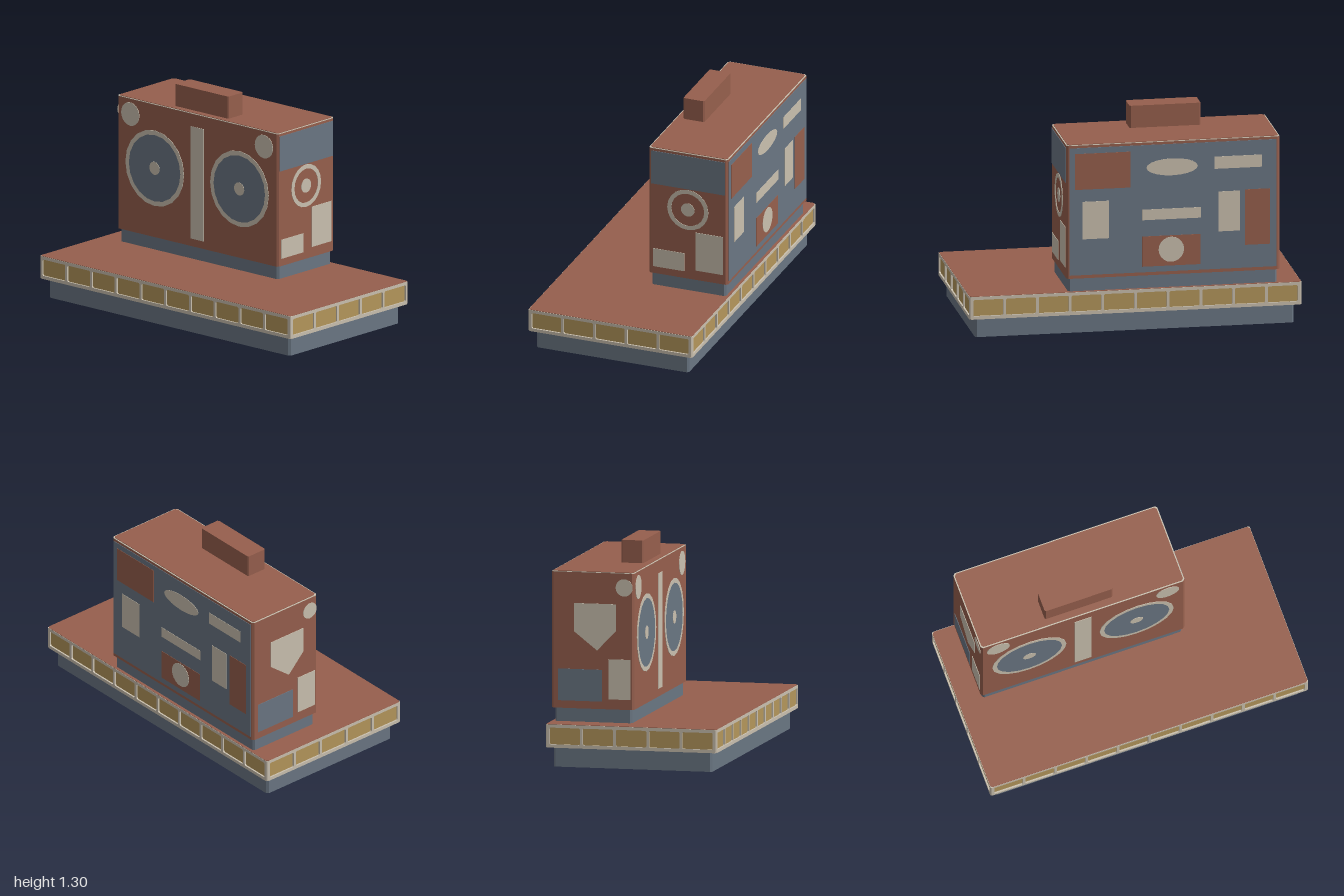
import * as THREE from 'three';

const mat = (name, color) => {
  const m = new THREE.MeshStandardMaterial({ color });
  m.name = name;
  return m;
};

export function createModel() {
  const brown = mat('rust brown', 0x965f4d);
  const blue = mat('slate blue', 0x6a7683);
  const cream = mat('cream', 0xcac0af);
  const gold = mat('ochre', 0xb4965b);
  const model = new THREE.Group();
  model.name = 'towerOnPlatform';

  const add = (parent, name, geometry, material) => {
    const m = new THREE.Mesh(geometry, material);
    m.name = name;
    parent.add(m);
    return m;
  };

  // Points of a rectangle with cut corners
  const outline = (w, d, c) => {
    const x = w / 2, y = d / 2;
    return [[x - c, -y], [x, c - y], [x, y - c], [x - c, y], [c - x, y], [-x, y - c], [-x, c - y], [c - x, -y]]
      .map(([a, b]) => new THREE.Vector2(a, b));
  };

  // Upright block given by its x, y and z ranges, optionally hollow
  const block = (name, material, [x0, x1], [y0, y1], [z0, z1], c = 0.012, wall = 0) => {
    const w = x1 - x0, d = z1 - z0;
    const shape = new THREE.Shape(outline(w, d, c));
    if (wall) shape.holes.push(new THREE.Path(outline(w - 2 * wall, d - 2 * wall, c)));
    const g = new THREE.ExtrudeGeometry(shape, { depth: y1 - y0, bevelEnabled: false });
    g.rotateX(-Math.PI / 2).translate((x0 + x1) / 2, y0, (z0 + z1) / 2);
    return add(model, name, g, material);
  };

  // Flat shapes for plates
  const poly = (pts) => new THREE.Shape(pts.map(([x, y]) => new THREE.Vector2(x, y)));
  const rect = (x0, x1, y0, y1) => poly([[x0, y0], [x1, y0], [x1, y1], [x0, y1]]);
  const oval = (x, y, rx, ry = rx, n = 20) => poly(Array.from({ length: n }, (_, i) => {
    const a = (i / n) * Math.PI * 2;
    return [x + rx * Math.cos(a), y + ry * Math.sin(a)];
  }));
  const ring = (x, y, r, inner) => {
    const s = oval(x, y, r);
    s.holes.push(oval(x, y, inner));
    return s;
  };

  // A wall group whose local +z points outward
  const wallGroup = (name, x, z, turn) => {
    const g = new THREE.Group();
    g.name = name;
    g.position.set(x, 0, z);
    g.rotation.y = turn;
    model.add(g);
    return g;
  };
  const plate = (wall, name, shape, material, depth = 0.003) =>
    add(wall, name, new THREE.ExtrudeGeometry(shape, { depth, bevelEnabled: false }), material);

  // Open plinth
  block('plinth', blue, [-0.96, 0.96], [0, 0.122], [-0.485, 0.485], 0.012, 0.005);

  // Platform: cream shell, ochre core, brown deck
  const D = 0.522, T = 0.01;
  block('platformUnderside', cream, [-1, 1], [0.118, 0.124], [-D, D]);
  block('platformCore', gold, [-1 + T, 1 - T], [0.124, 0.252], [T - D, D - T]);
  block('platformRim', cream, [-1, 1], [0.252, 0.257], [-D, D]);
  block('deck', brown, [-0.998, 0.998], [0.257, 0.259], [0.002 - D, D - 0.002]);
  for (const sx of [-1, 1]) for (const sz of [-1, 1]) {
    const x = sx * 0.99, z = sz * (D - 0.01);
    block('cornerPost', cream, [x - 0.01, x + 0.01], [0.122, 0.255], [z - 0.01, z + 0.01], 0.006);
  }

  // Frames with a row of openings around the platform edge
  const frame = (name, x, z, turn, length, count) => {
    const half = length / 2 - 0.01;
    const s = rect(-half, half, 0.12, 0.255);
    const pitch = (length - 0.03) / count;
    for (let i = 0; i < count; i++) {
      const c = (i - (count - 1) / 2) * pitch, h = pitch / 2 - 0.008;
      const pts = outline(2 * h, 0.1, 0.006).map((p) => p.add(new THREE.Vector2(c, 0.188)));
      s.holes.push(new THREE.Path(pts));
    }
    plate(wallGroup(name, x, z, turn), 'panelFrame', s, cream, T);
  };
  frame('frontEdge', 0, D - T, 0, 2, 10);
  frame('backEdge', 0, T - D, Math.PI, 2, 10);
  frame('rightHandEdge', 1 - T, 0, Math.PI / 2, 2 * D, 5);
  frame('leftHandEdge', T - 1, 0, -Math.PI / 2, 2 * D, 5);

  // Tower
  const X0 = -0.868, X1 = 0.415, Z0 = -0.518, Z1 = -0.016;
  block('neck', blue, [-0.855, 0.403], [0.257, 0.34], [-0.502, -0.03]);
  block('towerBody', brown, [X0, X1], [0.34, 1.155], [Z0, Z1]);
  block('towerRim', cream, [X0, X1], [1.155, 1.158], [Z0, Z1]);
  block('towerRoof', brown, [X0 + 0.007, X1 - 0.007], [1.158, 1.161], [Z0 + 0.007, Z1 - 0.007]);
  block('chimney', brown, [-0.45, -0.022], [1.16, 1.297], [-0.197, -0.063], 0.008);

  // Front wall: two large dials, corner discs and a centre strip
  const front = wallGroup('frontWall', 0, Z1, 0);
  for (const x of [-0.565, 0.11]) {
    plate(front, 'dialRing', ring(x, 0.765, 0.233, 0.205), cream);
    plate(front, 'dialFace', oval(x, 0.765, 0.205), blue);
    plate(front, 'dialHub', oval(x, 0.765, 0.04), cream, 0.005);
  }
  for (const x of [-0.76, 0.305]) plate(front, 'cornerDisc', oval(x, 1.062, 0.072), cream);
  plate(front, 'centreStrip', rect(-0.28, -0.174, 0.387, 1.078), cream);

  // Wall at +x (local x is -z)
  const sideA = wallGroup('leftWall', X1, 0, Math.PI / 2);
  plate(sideA, 'topBand', rect(0.03, 0.502, 0.925, 1.14), blue);
  plate(sideA, 'target', ring(0.265, 0.79, 0.131, 0.105), cream);
  plate(sideA, 'targetCentre', oval(0.265, 0.79, 0.043), cream);
  plate(sideA, 'lowPlate', rect(0.043, 0.242, 0.385, 0.502), cream);
  plate(sideA, 'tallPlate', rect(0.314, 0.489, 0.402, 0.65), cream);

  // Wall at -x (local x is z)
  const sideB = wallGroup('rightWall', X0, 0, -Math.PI / 2);
  plate(sideB, 'disc', oval(-0.075, 1.07, 0.052), cream);
  plate(sideB, 'shield', poly([[-0.38, 0.97], [-0.38, 0.8], [-0.24, 0.69], [-0.125, 0.81], [-0.125, 0.97]]), cream);
  plate(sideB, 'lowPanel', rect(-0.48, -0.21, 0.385, 0.575), blue);
  plate(sideB, 'tallPlate', rect(-0.17, -0.035, 0.4, 0.64), cream);

  // Back wall, shapes given by model x and mirrored into the wall
  const back = wallGroup('backWall', 0, Z0, Math.PI);
  const backRect = (name, x0, x1, y0, y1, material) =>
    plate(back, name, rect(-x1, -x0, y0, y1), material, 0.005);
  plate(back, 'backPanel', rect(-0.398, 0.85, 0.36, 1.14), blue, 0.003);
  backRect('upperPatch', 0.03, 0.365, 0.885, 1.105, brown);
  backRect('sidePatch', -0.81, -0.66, 0.5, 0.84, brown);
  backRect('lowerPatch', -0.39, -0.04, 0.395, 0.58, brown);
  backRect('upperPlate', -0.76, -0.475, 0.975, 1.05, cream);
  backRect('squarePlate', 0.16, 0.32, 0.58, 0.81, cream);
  backRect('middleStrip', -0.395, -0.04, 0.68, 0.745, cream);
  backRect('tallPlate', -0.63, -0.5, 0.59, 0.835, cream);
  plate(back, 'oval', oval(0.22, 1.0, 0.155, 0.052), cream, 0.005);
  plate(back, 'lowerDisc', oval(0.215, 0.495, 0.077), cream, 0.007);

  return model;
}
